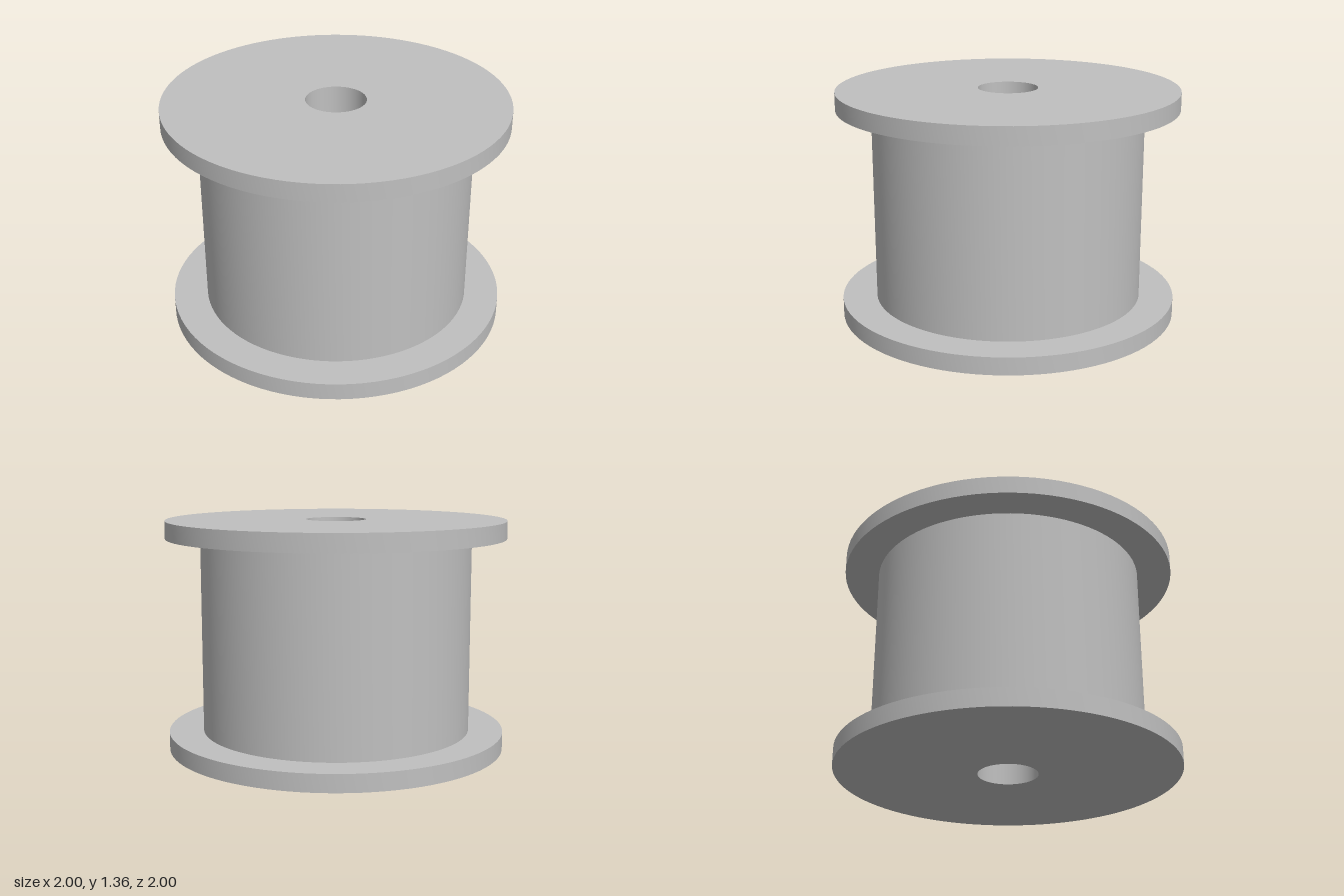
import * as THREE from 'three';
import { toCreasedNormals } from 'three/addons/utils/BufferGeometryUtils.js';

const HEIGHT = 1.355, RIM = 0.104, OUTER = 1, CORE = 0.797, BORE = 0.176;

export function createModel() {
  const spool = new THREE.Group();
  spool.name = 'spool';

  const grey = new THREE.MeshStandardMaterial({ color: 0xc0c0c0 });
  grey.name = 'grey';

  // Revolves a profile of [radius, height] points, keeping its corners sharp
  function turned(name, profile) {
    const points = profile.map(([r, y]) => new THREE.Vector2(r, y));
    const geometry = toCreasedNormals(new THREE.LatheGeometry(points, 96), Math.PI / 6);
    const mesh = new THREE.Mesh(geometry, grey);
    mesh.name = name;
    spool.add(mesh);
  }

  // Flanges, open where they meet the core and the bore
  turned('bottomFlange', [[BORE, 0], [OUTER, 0], [OUTER, RIM], [CORE, RIM]]);
  turned('topFlange', [[CORE, HEIGHT - RIM], [OUTER, HEIGHT - RIM], [OUTER, HEIGHT], [BORE, HEIGHT]]);

  // Winding core between the flanges
  turned('core', [[CORE, RIM], [CORE, HEIGHT - RIM]]);

  // Through hole, listed downwards so that its wall faces the axis
  turned('bore', [[BORE, HEIGHT], [BORE, 0]]);

  return spool;
}
